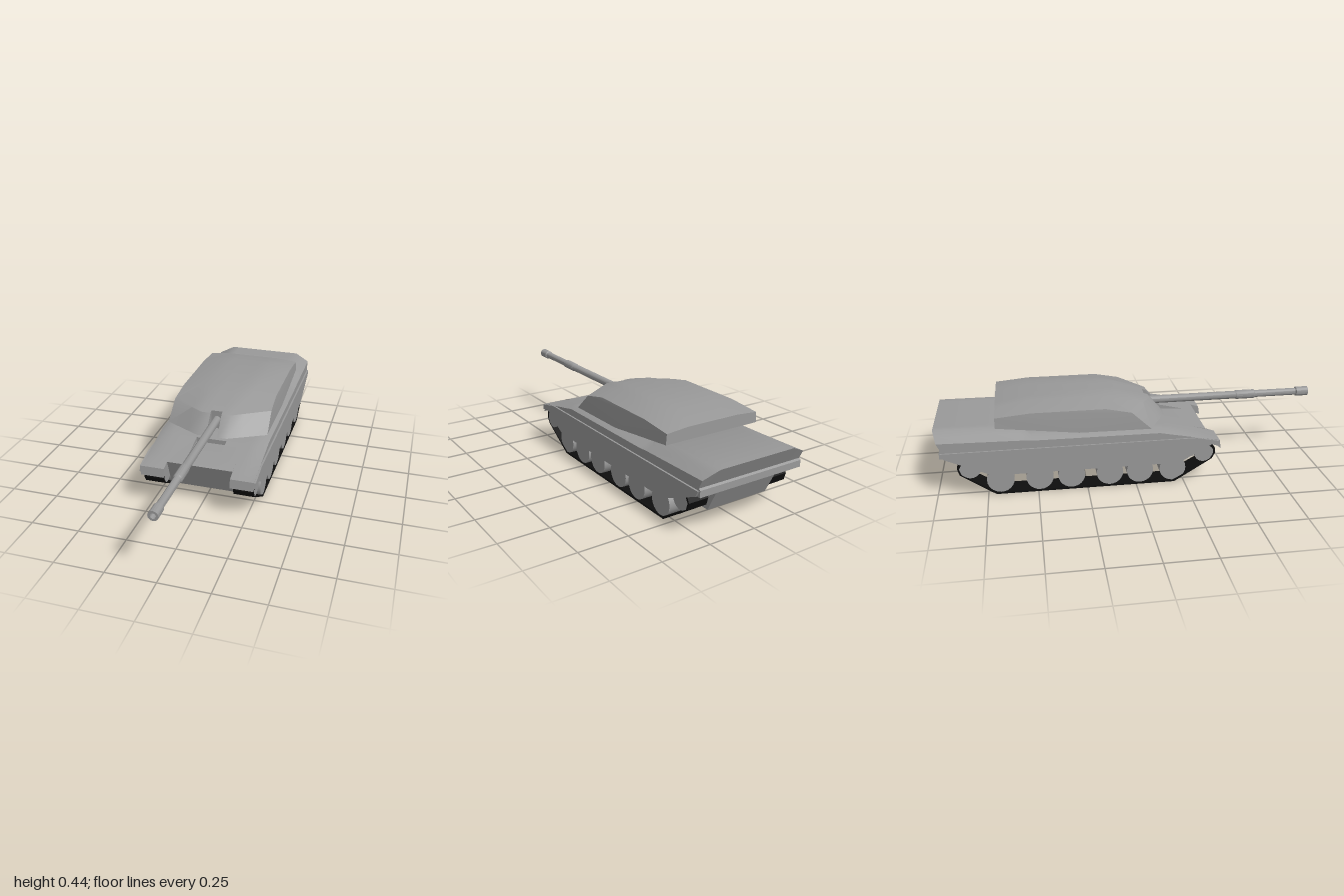
import * as THREE from 'three';
import { toCreasedNormals } from 'three/addons/utils/BufferGeometryUtils.js';

const grey = new THREE.MeshStandardMaterial({ color: 0x999999, side: THREE.DoubleSide });
const black = new THREE.MeshStandardMaterial({ color: 0x0e0e0e, side: THREE.DoubleSide });
const CREASE = 0.55;

// Skins side profiles ([z, y] or [z, y, x]) listed from the left edge to the middle, mirrored to the right.
function loft(half) {
  const left = half.map(([x, pts]) => pts.map(([z, y, px]) => new THREE.Vector3(px ?? x, y, z)));
  const right = left.map((s) => s.map((p) => new THREE.Vector3(-p.x, p.y, p.z)));
  const rows = [...right, ...left.reverse()];
  const n = rows[0].length;
  const out = [];
  const tri = (...ps) => ps.forEach((p) => out.push(p.x, p.y, p.z));
  for (let i = 0; i < rows.length - 1; i++) {
    for (let j = 0; j < n; j++) {
      const k = (j + 1) % n;
      const a = rows[i][j], b = rows[i][k], c = rows[i + 1][k], d = rows[i + 1][j];
      tri(a, d, c);
      tri(a, c, b);
    }
  }
  // End caps
  const first = rows[0], last = rows[rows.length - 1];
  const flat = first.map((p) => new THREE.Vector2(p.z, p.y));
  for (const [a, b, c] of THREE.ShapeUtils.triangulateShape(flat, [])) {
    tri(first[a], first[b], first[c]);
    tri(last[a], last[c], last[b]);
  }
  const g = new THREE.BufferGeometry();
  g.setAttribute('position', new THREE.Float32BufferAttribute(out, 3));
  return toCreasedNormals(g, CREASE);
}

// Extrudes a [z, y] outline between x0 and x0 + width.
function sidePlate(outline, x0, width, hole) {
  const toV = (pts) => pts.map(([z, y]) => new THREE.Vector2(-z, y));
  const shape = new THREE.Shape(toV(outline));
  if (hole) shape.holes.push(new THREE.Path(toV(hole).reverse()));
  const g = new THREE.ExtrudeGeometry(shape, { depth: width, bevelEnabled: false });
  return g.rotateY(Math.PI / 2).translate(x0, 0, 0);
}

export function createModel() {
  const model = new THREE.Group();
  const add = (name, geometry, material = grey, parent = model) => {
    const mesh = new THREE.Mesh(geometry, material);
    mesh.name = name;
    parent.add(mesh);
  };

  // Upper hull: fenders, sloped front with a recess, raised rear deck over a rear ledge
  const fenderFront = [[-0.97, 0.215], [0.40, 0.205], [0.44, 0.176], [0.432, 0.222]];
  const noseFront = [[-0.97, 0.215], [0.36, 0.205], [0.365, 0.21], [0.385, 0.238]];
  const glacis = [[0.32, 0.253], [0.18, 0.286], [0.18, 0.286], [0.12, 0.30]];
  const recess = [[0.32, 0.253], [0.18, 0.262], [0.18, 0.286], [0.12, 0.30]];
  const ledge = [[-0.96, 0.255], [-0.97, 0.248]];
  const deck = [[-0.52, 0.30], [-0.58, 0.333], [-1.0, 0.335], ...ledge];
  add('upperHull', loft([
    [0.29, [...fenderFront, [0.32, 0.243], [0.18, 0.270], [0.18, 0.270], [0.12, 0.282],
      [-0.52, 0.285], [-0.58, 0.289], [-0.98, 0.297], ...ledge]],
    [0.25, [...fenderFront, [0.32, 0.250], [0.18, 0.283], [0.18, 0.283], [0.12, 0.298],
      [-0.52, 0.30], [-0.58, 0.312], [-0.99, 0.316], ...ledge]],
    [0.21, [...fenderFront, ...glacis, ...deck]],
    [0.17, [...fenderFront, ...glacis, ...deck]],
    [0.17, [...noseFront, ...glacis, ...deck]],
    [0.08, [...noseFront, ...glacis, ...deck]],
    [0.08, [...noseFront, ...recess, ...deck]],
  ]));

  // Lower hull between the tracks
  add('lowerHull', loft([[0.17, [[-0.88, 0.088], [0.33, 0.088], [0.386, 0.238], [-0.955, 0.238]]]]));

  // Turret: wedge front with a gun slot, faceted roof, rising underside at the rear
  const turretBack = [[-0.53, 0.443], [-0.695, 0.412], [-0.695, 0.35]];
  const turretFront = [[-0.285, 0.303], [0.18, 0.30], [0.10, 0.395], [-0.07, 0.443]];
  add('turret', loft([
    [0.265, [[-0.285, 0.303, 0.271], [0.08, 0.30, 0.271], [-0.02, 0.392, 0.267], [-0.15, 0.418, 0.262],
      [-0.52, 0.418, 0.262], [-0.695, 0.402, 0.262], [-0.695, 0.35, 0.266]]],
    [0.145, [[-0.285, 0.303], [0.146, 0.30], [0.058, 0.394], [-0.15, 0.443], ...turretBack]],
    [0.08, [...turretFront, ...turretBack]],
    [0.03, [...turretFront, ...turretBack]],
    [0.03, [[-0.285, 0.303], [0.08, 0.30], [0.08, 0.4006], [-0.07, 0.443], ...turretBack]],
  ]));
  add('turretRing', new THREE.CylinderGeometry(0.14, 0.14, 0.02, 24).translate(0, 0.298, -0.1));

  // Gun barrel with sleeve, muzzle collar and hollow bore
  const barrel = [[0, 0.05], [0.021, 0.05], [0.021, 0.59], [0.024, 0.595], [0.024, 0.695], [0.019, 0.70],
    [0.019, 0.93], [0.025, 0.935], [0.025, 1.0], [0.014, 1.0], [0.014, 0.94], [0, 0.94]];
  const gun = new THREE.LatheGeometry(barrel.map(([r, z]) => new THREE.Vector2(r, z)), 16);
  add('gunBarrel', toCreasedNormals(gun, CREASE).rotateX(Math.PI / 2).translate(0, 0.351, 0));

  // Running gear on both sides
  const track = [[0.2, 0], [0.395, 0.118], [0.413, 0.15], [0.41, 0.178], [0.385, 0.205], [0.34, 0.212],
    [-0.83, 0.212], [-0.872, 0.195], [-0.893, 0.155], [-0.882, 0.118], [-0.71, 0]];
  const trackInner = track.map(([z, y]) => [-0.24 + (z + 0.24) * 0.985, 0.01 + y * 0.91]);
  const skirt = [[0.435, 0.19], [0.39, 0.205], [0.22, 0.113], [-0.72, 0.113], [-0.95, 0.215],
    [-0.965, 0.245], [0.31, 0.245], [0.43, 0.22]];
  const roadWheels = [0.19, 0.02, -0.135, -0.33, -0.49, -0.685];
  for (const side of [1, -1]) {
    const gear = new THREE.Group();
    gear.name = side > 0 ? 'leftRunningGear' : 'rightRunningGear';
    model.add(gear);
    const x0 = (start, width) => (side > 0 ? start : -start - width);
    add('track', sidePlate(track, x0(0.18, 0.105), 0.105, trackInner), black, gear);
    add('sideSkirt', sidePlate(skirt, x0(0.288, 0.011), 0.011), grey, gear);
    const wheel = (name, z, y, r) => add(name,
      new THREE.CylinderGeometry(r, r, 0.1, 24).rotateZ(Math.PI / 2).translate(side * 0.233, y, z), grey, gear);
    roadWheels.forEach((z) => wheel('roadWheel', z, 0.078, 0.068));
    wheel('frontIdler', 0.352, 0.155, 0.05);
    wheel('rearSprocket', -0.83, 0.152, 0.054);
  }
  return model;
}
